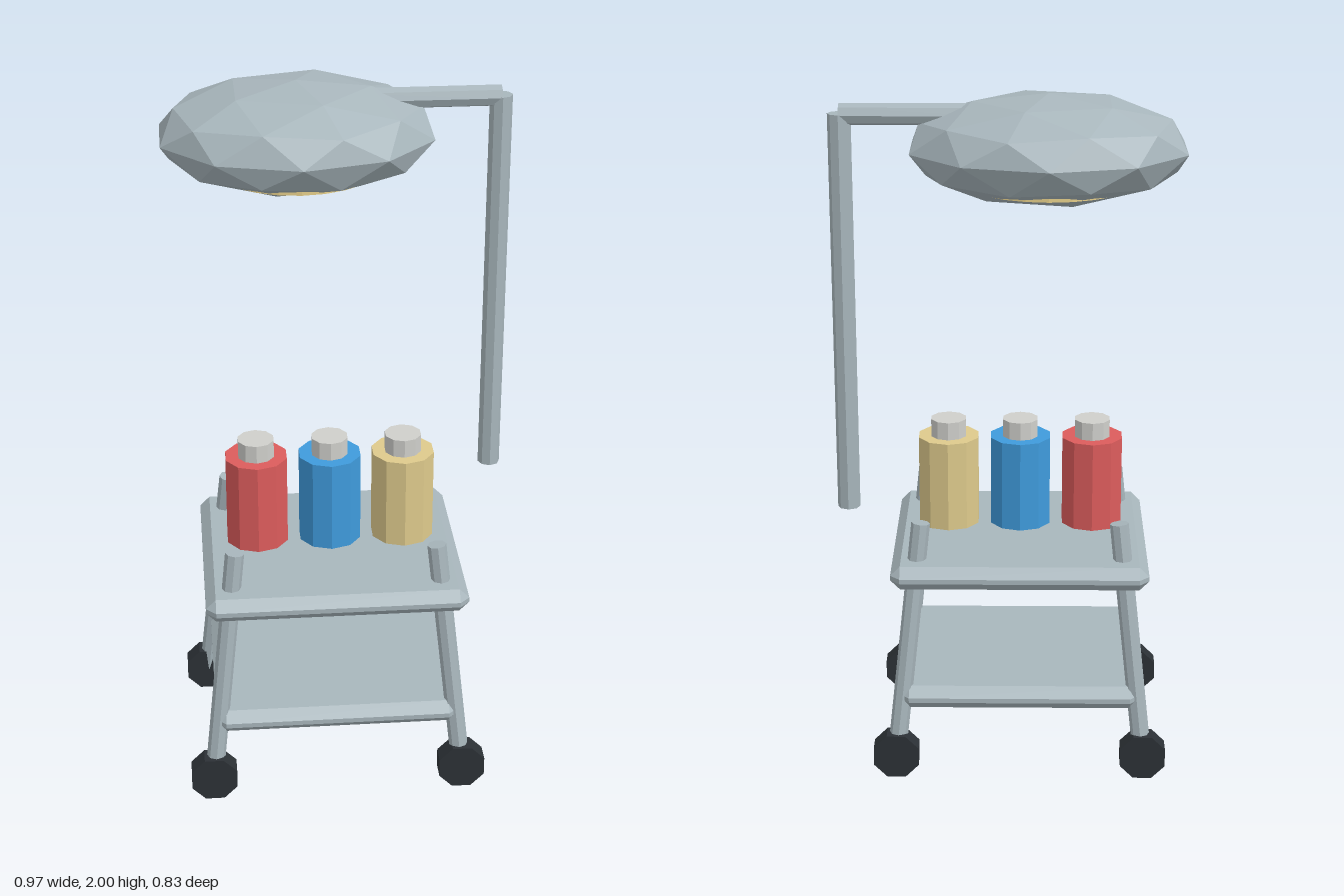
import * as THREE from 'three';
import { ConvexGeometry } from 'three/addons/geometries/ConvexGeometry.js';

const mat = (name, color) => {
  const m = new THREE.MeshStandardMaterial({ color, flatShading: true });
  m.name = name;
  return m;
};

// Box with a single chamfer on every edge
function chamferBox(w, h, d, b) {
  const pts = [];
  const [x, y, z] = [w / 2, h / 2, d / 2];
  for (const sx of [-1, 1]) for (const sy of [-1, 1]) for (const sz of [-1, 1]) {
    pts.push(
      new THREE.Vector3(sx * x, sy * (y - b), sz * (z - b)),
      new THREE.Vector3(sx * (x - b), sy * y, sz * (z - b)),
      new THREE.Vector3(sx * (x - b), sy * (y - b), sz * z));
  }
  return new ConvexGeometry(pts);
}

export function createModel() {
  const model = new THREE.Group();
  model.name = 'medicalTrolleyWithLamp';

  const metal = mat('metal', 0xa8b6bc);
  const rubber = mat('rubber', 0x2c3136);
  const red = mat('red', 0xdc5c5c);
  const blue = mat('blue', 0x3f9bdc);
  const gold = mat('gold', 0xdeca8c);
  const capGrey = mat('capGrey', 0xcfcfcb);
  const lensYellow = mat('lensYellow', 0xf0d890);

  const add = (parent, name, geo, material, x = 0, y = 0, z = 0) => {
    const mesh = new THREE.Mesh(geo, material);
    mesh.name = name;
    mesh.position.set(x, y, z);
    parent.add(mesh);
    return mesh;
  };

  // Straight eight-sided rod between two points
  const rod = (parent, name, a, b, r) => {
    const dir = b.clone().sub(a);
    const mesh = add(parent, name, new THREE.CylinderGeometry(r, r, dir.length(), 8), metal);
    mesh.position.copy(a).add(b).multiplyScalar(0.5);
    mesh.quaternion.setFromUnitVectors(new THREE.Vector3(0, 1, 0), dir.normalize());
    return mesh;
  };

  // Trolley: two shelves, splayed legs, wheels
  const trolley = new THREE.Group();
  trolley.name = 'trolley';
  trolley.position.set(-0.04, 0, 0.09);
  model.add(trolley);
  add(trolley, 'upperShelf', chamferBox(0.74, 0.07, 0.65, 0.028), metal, 0, 0.63, 0);
  add(trolley, 'lowerShelf', chamferBox(0.7, 0.07, 0.616, 0.028), metal, 0, 0.246, 0);

  const wheelGeo = new THREE.CylinderGeometry(0.071, 0.071, 0.057, 8);
  wheelGeo.rotateY(Math.PI / 8).rotateX(Math.PI / 2);
  for (const sx of [-1, 1]) for (const sz of [-1, 1]) {
    rod(trolley, 'leg',
      new THREE.Vector3(sx * 0.36, 0.07, sz * 0.286),
      new THREE.Vector3(sx * 0.284, 0.772, sz * 0.226), 0.027);
    add(trolley, 'wheel', wheelGeo, rubber, sx * 0.361, 0.067, sz * 0.288);
  }

  // Row of bottles
  const bottleGeo = new THREE.CylinderGeometry(0.091, 0.091, 0.267, 10);
  const capGeo = new THREE.CylinderGeometry(0.053, 0.053, 0.06, 10);
  [[red, -0.21], [blue, 0], [gold, 0.21]].forEach(([color, x]) => {
    const bottle = new THREE.Group();
    bottle.name = 'bottle';
    bottle.position.x = x;
    trolley.add(bottle);
    add(bottle, 'bottleBody', bottleGeo, color, 0, 0.826, 0);
    add(bottle, 'bottleCap', capGeo, capGrey, 0, 0.982, 0);
  });

  // Lamp: faceted head, lens, pole and arm
  const lamp = new THREE.Group();
  lamp.name = 'lamp';
  lamp.position.z = -0.1;
  model.add(lamp);
  const headGeo = new THREE.IcosahedronGeometry(1, 1);
  headGeo.rotateZ(-Math.atan(2 / (1 + Math.sqrt(5)))); // one corner straight up
  headGeo.scale(0.392, 0.148, 0.316);
  headGeo.computeVertexNormals();
  add(lamp, 'lampHead', headGeo, metal, -0.115, 1.853, 0);
  add(lamp, 'lampLens', new THREE.CylinderGeometry(0.238, 0.238, 0.015, 24), lensYellow, -0.115, 1.765, 0);
  rod(lamp, 'lampPole', new THREE.Vector3(0.45, 0.81, 0), new THREE.Vector3(0.45, 1.945, 0), 0.032);
  rod(lamp, 'lampArm', new THREE.Vector3(0.05, 1.943, 0), new THREE.Vector3(0.45, 1.943, 0), 0.03);

  return model;
}
